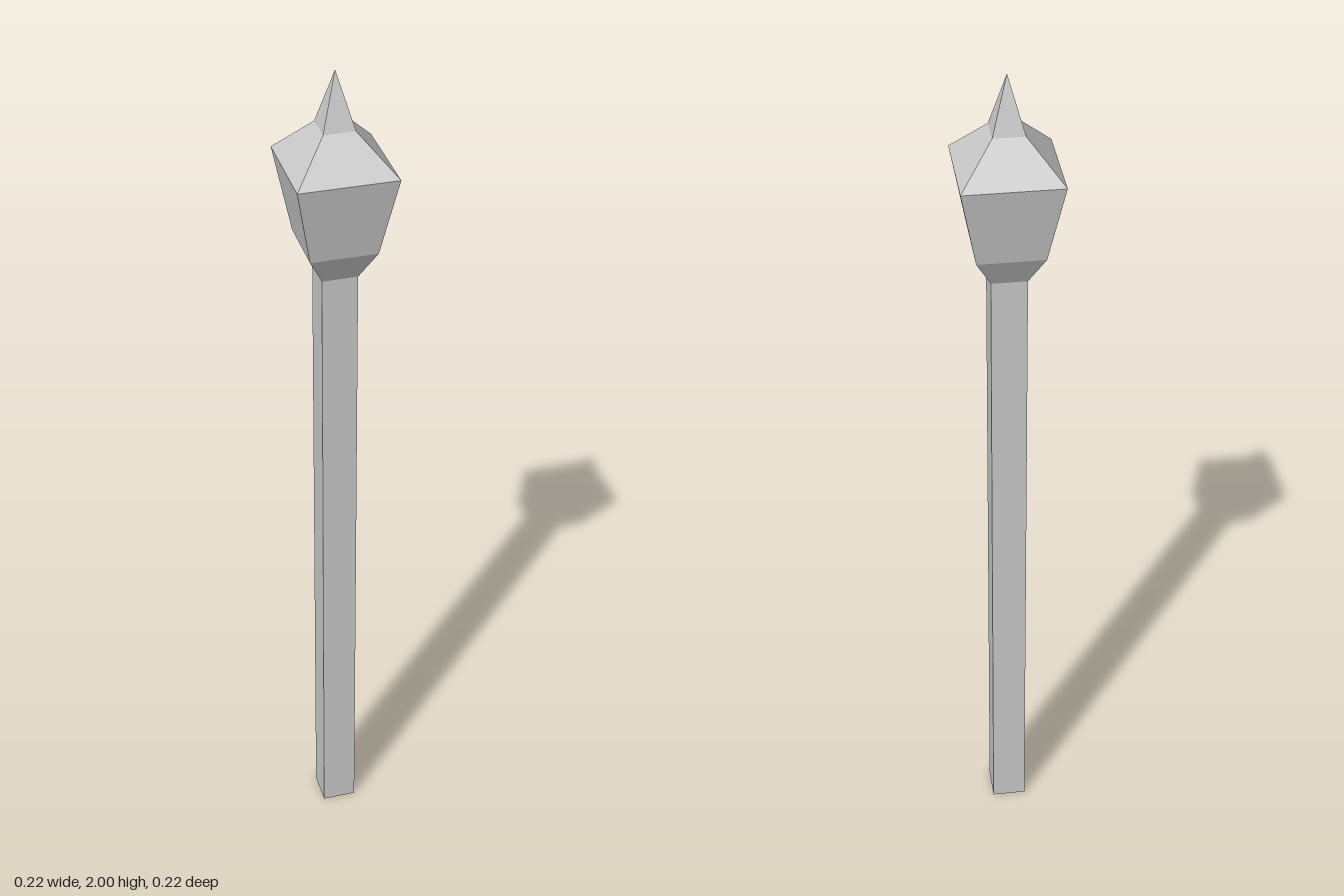
import * as THREE from 'three';

const material = new THREE.MeshStandardMaterial({ color: 0xcccccc, flatShading: true });

// Square tapered section between two heights, given by half-widths
function squareSection(name, y0, half0, y1, half1, open = true) {
  const geometry = new THREE.CylinderGeometry(
    half1 * Math.SQRT2, half0 * Math.SQRT2, y1 - y0, 4, 1, open, Math.PI / 4
  );
  geometry.translate(0, (y0 + y1) / 2, 0);
  const mesh = new THREE.Mesh(geometry, material);
  mesh.name = name;
  return mesh;
}

export function createModel() {
  const group = new THREE.Group();
  group.name = 'lampPost';

  // Straight square post, closed at the foot
  group.add(squareSection('post', 0, 0.04, 1.535, 0.04, false));

  // Lantern head: flared collar, tapered body, roof and pointed finial
  group.add(squareSection('lanternCollar', 1.535, 0.04, 1.605, 0.075));
  group.add(squareSection('lanternBody', 1.605, 0.075, 1.79, 0.11));
  group.add(squareSection('lanternRoof', 1.79, 0.11, 1.875, 0.035));
  group.add(squareSection('finial', 1.875, 0.035, 2, 0));

  return group;
}
